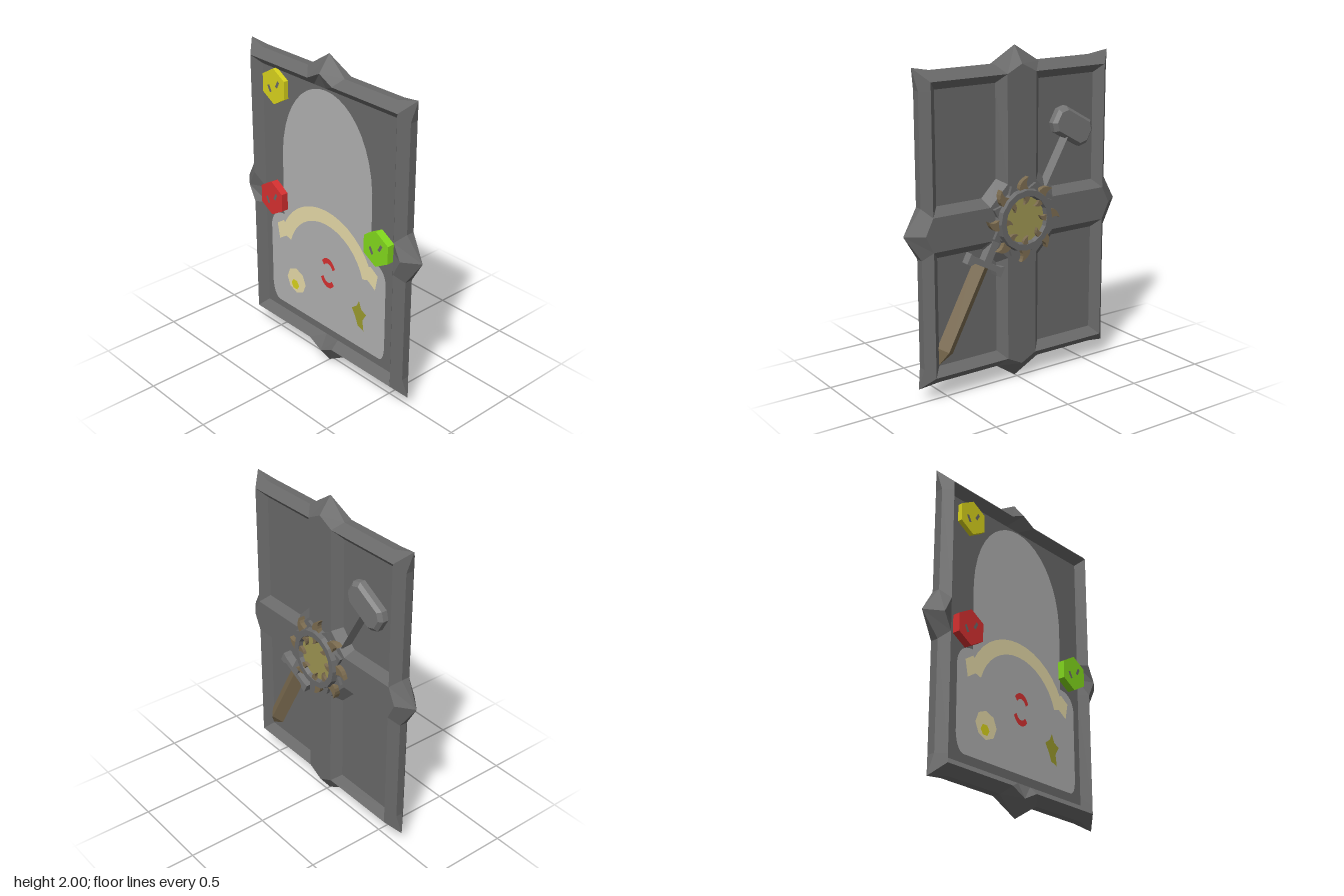
import * as THREE from 'three';

const mat = (name, color) => Object.assign(new THREE.MeshStandardMaterial({ color }), { name });

// Flat-faced strip between cross-section loops of [x, y, z] points, counter-clockwise
function loft(loops) {
  const pos = [];
  for (let k = 0; k + 1 < loops.length; k++) {
    const A = loops[k], B = loops[k + 1], n = A.length;
    for (let i = 0; i < n; i++) {
      const j = (i + 1) % n;
      pos.push(...A[i], ...A[j], ...B[j], ...A[i], ...B[j], ...B[i]);
    }
  }
  const g = new THREE.BufferGeometry();
  g.setAttribute('position', new THREE.Float32BufferAttribute(pos, 3));
  g.computeVertexNormals();
  return g;
}
const shapeOf = pts => new THREE.Shape(pts.map(p => new THREE.Vector2(p[0], p[1])));
const flat = (pts, z) => new THREE.ShapeGeometry(shapeOf(pts)).translate(0, 0, z);
const slab = (shape, z, depth) =>
  new THREE.ExtrudeGeometry(shape, { depth, bevelEnabled: false, curveSegments: 5 }).translate(0, 0, z);
const atZ = (pts, z) => pts.map(p => [p[0], p[1], z]);

// Mirror one quarter (top to right) into a full counter-clockwise loop
function mirrorLoop(q) {
  const half = [...q, ...q.slice(0, -1).reverse().map(([x, y, z]) => [x, -y, z])];
  const left = half.slice(1, -1).reverse().map(([x, y, z]) => [-x, y, z]);
  return [...half, ...left].reverse();
}

export function createModel() {
  const metal = mat('dark metal', 0x696969), steel = mat('hammer steel', 0x757575);
  const bronze = mat('bronze', 0x7c6c50), gold = mat('gold', 0x9d9552);
  const pale = mat('pale lining', 0xb0b0b0), cream = mat('cream', 0xe6daa8);
  const red = mat('red', 0xd63030), green = mat('green', 0x82d81c);
  const yellow = mat('yellow', 0xd8d21c), olive = mat('olive', 0x9a9a2c);

  const root = new THREE.Group();
  root.name = 'shield';
  // The decorated face looks along +x
  const face = new THREE.Group();
  face.name = 'shieldFace';
  face.rotation.y = Math.PI / 2;
  face.position.y = 1;
  root.add(face);
  const add = (parent, name, geo, m) => {
    const mesh = new THREE.Mesh(geo, m);
    mesh.name = name;
    parent.add(mesh);
    return mesh;
  };
  const sub = (parent, name, x = 0, y = 0, rot = 0) => {
    const g = new THREE.Group();
    g.name = name;
    g.position.set(x, y, 0);
    g.rotation.z = rot;
    parent.add(g);
    return g;
  };

  // Bevelled rim with spikes at corners and mid-sides
  const outer = [[0, 1, 0], [.15, .9, 1], [.55, .9, 1], [.675, .925, 0], [.65, .8, 1], [.65, .15, 1], [.75, 0, 0]];
  const ridge = [[0, .9], [.1, .85], [.55, .85], [.6, .85], [.6, .8], [.6, .1], [.65, 0]];
  const floor = [[0, .8], [.1, .8], [.5, .8], [.55, .8], [.55, .75], [.55, .1], [.55, 0]];
  const edge = s => mirrorLoop(outer.map(([x, y, w]) => [x, y, -.025 + s * .025 * w]));
  add(face, 'rim', loft([
    mirrorLoop(atZ(floor, -.05)), mirrorLoop(atZ(ridge, -.1)), edge(-1), edge(1), mirrorLoop(atZ(ridge, .05)),
  ]), metal);

  // Raised cross and four sunken panels
  add(face, 'crossBars', flat(mirrorLoop([[0, .9, 0], [.1, .85, 0], [.1, .22, 0], [.22, .1, 0], [.6, .1, 0], [.65, 0, 0]]), .05), metal);
  const hole = [[.1, .85], [.1, .22], [.22, .1], [.6, .1], [.6, .85]];
  const sunk = [[.15, .8], [.15, .25], [.25, .15], [.55, .15], [.55, .8]];
  for (const sx of [1, -1]) for (const sy of [1, -1]) {
    const put = (pts, z) => {
      const r = pts.map(([x, y]) => [x * sx, y * sy, z]);
      return sx * sy < 0 ? r.reverse() : r;
    };
    add(face, 'panelSlope', loft([put(hole, .05), put(sunk, 0)]), metal);
    add(face, 'panel', flat(put(sunk, 0), 0), metal);
  }

  // Sun boss: ring, disc, teeth and curling flames
  const boss = sub(face, 'sunBoss');
  const ring = new THREE.LatheGeometry(
    [[.195, .045], [.18, .1], [.145, .1], [.135, .07]].map(p => new THREE.Vector2(...p)), 16)
    .rotateX(Math.PI / 2).toNonIndexed();
  ring.computeVertexNormals();
  add(boss, 'bossRing', ring, metal);
  add(boss, 'bossDisc', new THREE.CircleGeometry(.145, 16).translate(0, 0, .075), gold);
  const flame = new THREE.Shape();
  flame.moveTo(-.035, 0);
  flame.quadraticCurveTo(-.05, .06, .025, .085);
  flame.quadraticCurveTo(-.005, .045, .035, 0);
  const rayGeo = slab(flame, .04, .04).translate(0, .168, 0);
  const toothGeo = slab(shapeOf([[-.045, .17], [.045, .17], [0, .225]]), .04, .03);
  const innerGeo = slab(flame, 0, .02).scale(.6, .65, 1).rotateZ(Math.PI).translate(0, .15, .076);
  for (let i = 0; i < 8; i++) {
    const a = -i * Math.PI / 4;
    add(boss, 'flame', rayGeo, bronze).rotation.z = a;
    add(boss, 'innerFlame', innerGeo, bronze).rotation.z = a;
    add(boss, 'tooth', toothGeo, metal).rotation.z = a + Math.PI / 8;
  }

  // Sword lying in the lower panel
  const sword = sub(face, 'sword', -.255, -.24, -.49);
  add(sword, 'blade', loft([
    atZ([[-.06, 0], [-.06, -.54], [0, -.63], [.06, -.54], [.06, 0]], 0),
    atZ([[0, 0], [0, -.53], [0, -.54], [0, -.53], [0, 0]], .045),
  ]), bronze);
  add(sword, 'guard', slab(shapeOf([[-.13, .035], [-.13, -.03], [-.1, -.03], [-.08, -.01], [.08, -.01],
    [.1, -.03], [.13, -.03], [.13, .035], [.1, .025], [-.1, .025]]), 0, .054), steel);
  add(sword, 'grip', new THREE.BoxGeometry(.05, .14, .055).translate(0, .08, .027), steel);

  // Hammer lying in the upper panel
  const hammer = sub(face, 'hammer', .377, .5, -.52);
  const octagon = (w, h, c) => [[w - c, -h], [w, c - h], [w, h - c], [w - c, h], [c - w, h], [-w, h - c], [-w, c - h], [c - w, -h]];
  const headTop = atZ(octagon(.125, .068, .035), .055);
  add(hammer, 'hammerHead', loft([atZ(octagon(.145, .085, .04), 0), atZ(octagon(.145, .085, .04), .035), headTop]), steel);
  add(hammer, 'hammerHeadTop', flat(headTop, .055), steel);
  add(hammer, 'hammerHandle', loft([
    atZ([[-.028, -.4], [.028, -.4], [.028, -.07], [-.028, -.07]], 0),
    atZ([[-.013, -.4], [.013, -.4], [.013, -.07], [-.013, -.07]], .052),
  ]), steel);

  // Hollow back with a pale lining
  const back = sub(face, 'shieldBack');
  back.rotation.y = Math.PI;
  add(back, 'backPanel', flat(mirrorLoop(atZ(floor, 0)), .05), metal);
  const lining = new THREE.Shape();
  lining.moveTo(-.44, -.75);
  lining.lineTo(.46, -.75);
  lining.quadraticCurveTo(.5, -.74, .5, -.64);
  lining.lineTo(.5, -.22);
  lining.quadraticCurveTo(.48, -.12, .38, -.12);
  lining.lineTo(.38, .3);
  lining.bezierCurveTo(.36, .62, .18, .79, 0, .79);
  lining.bezierCurveTo(-.18, .79, -.36, .62, -.38, .3);
  lining.lineTo(-.38, -.12);
  lining.quadraticCurveTo(-.48, -.12, -.5, -.22);
  lining.lineTo(-.5, -.64);
  lining.quadraticCurveTo(-.49, -.74, -.44, -.75);
  add(back, 'lining', new THREE.ShapeGeometry(lining, 10).translate(0, 0, .053), pale);

  // Flat painted details on the lining
  const arc = (r0, r1, a0, a1) => new THREE.RingGeometry(r0, r1, 16, 1, a0, a1 - a0);
  add(back, 'paintedArch', arc(.33, .42, .3, Math.PI - .3).translate(0, -.37, .057), cream);
  for (const s of [1, -1])
    add(back, 'archEnd', flat([[.3 * s, -.22], [.42 * s, -.3], [.44 * s, -.2], [.38 * s, -.16]], .057), cream);
  for (const a of [.5, .5 + Math.PI])
    add(back, 'redCrescent', arc(.065, .1, a, a + 1.9).scale(.7, 1, 1).translate(.02, -.36, .057), red);
  add(back, 'oliveMark', flat([[.23, -.5], [.27, -.47], [.29, -.43], [.31, -.48], [.35, -.5], [.32, -.55],
    [.33, -.62], [.28, -.6], [.26, -.55]], .057), olive);
  add(back, 'creamMark', new THREE.CircleGeometry(.085, 8).translate(-.27, -.54, .057), cream);
  add(back, 'yellowDot', new THREE.CircleGeometry(.035, 6).translate(-.28, -.57, .059), yellow);

  // Six-sided studs with two slots each
  const studs = [['yellowStud', -.42, .7, yellow, .03], ['greenStud', .46, 0, green, .048], ['redStud', -.44, -.02, red, .048]];
  for (const [name, x, y, m, depth] of studs) {
    const stud = sub(back, name, x, y);
    const hex = Array.from({ length: 6 }, (_, i) => [.11 * Math.sin(i * Math.PI / 3), .11 * Math.cos(i * Math.PI / 3)]);
    add(stud, 'studBody', slab(shapeOf(hex), .05, depth), m);
    for (const s of [1, -1])
      add(stud, 'studSlot', new THREE.PlaneGeometry(.018, .045).rotateZ(-.5 * s).translate(.035 * s, .02 * s, .051 + depth), metal);
  }
  return root;
}
